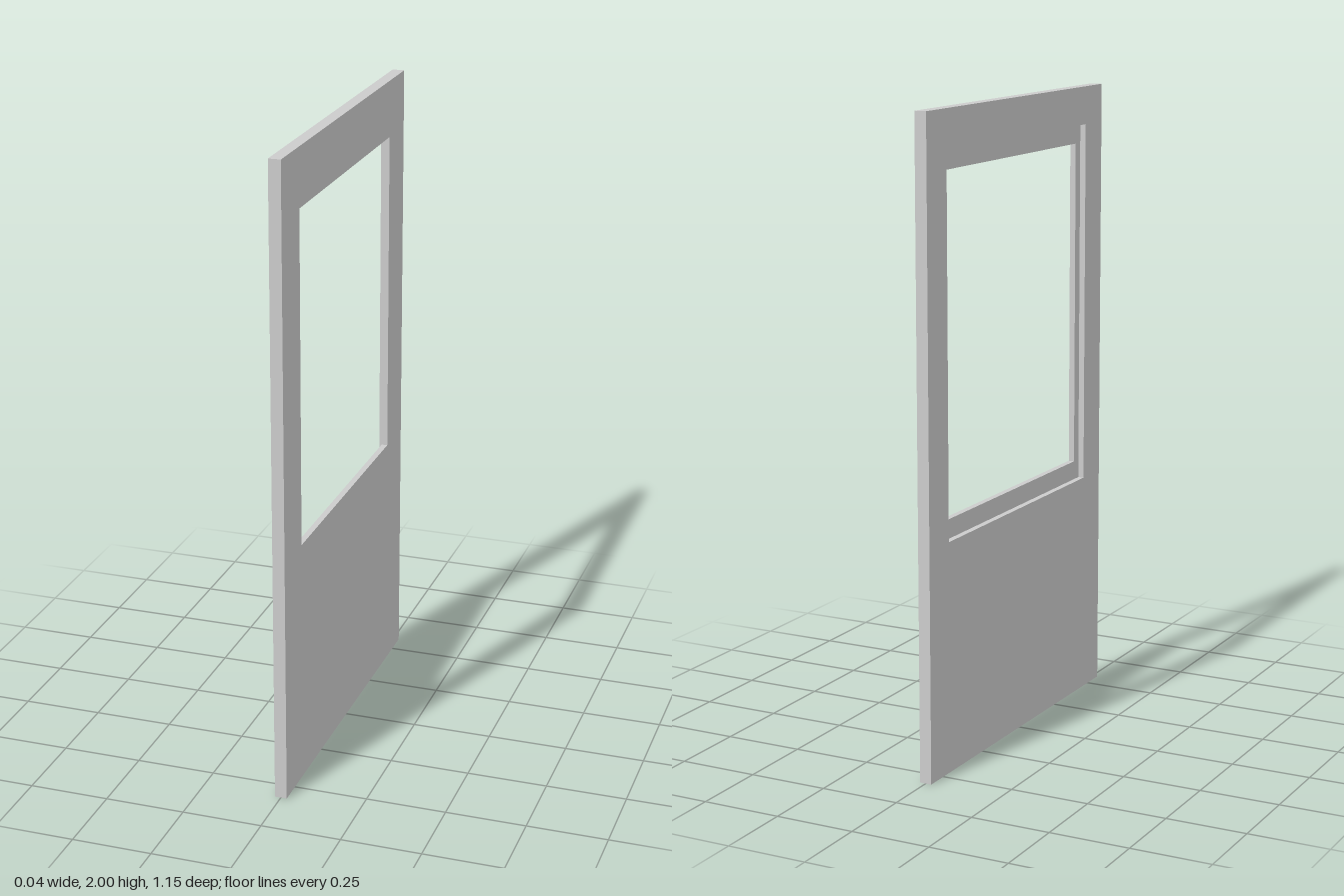
import * as THREE from 'three';

const WIDTH = 1.15, HEIGHT = 2, HALF_DEPTH = 0.019;
const REBATE_FLOOR = 0; // x where the glazing rebate stops

// Rectangle path, symmetric across the panel, from y0 up to y1
function rect(path, width, y0, y1) {
  const w = width / 2;
  path.moveTo(-w, y0);
  path.lineTo(w, y0);
  path.lineTo(w, y1);
  path.lineTo(-w, y1);
  path.closePath();
  return path;
}

// Panel layer between two x positions, with a rectangular opening
function layer(name, x0, x1, opening) {
  const shape = rect(new THREE.Shape(), WIDTH, 0, HEIGHT);
  shape.holes.push(rect(new THREE.Path(), ...opening));
  const geometry = new THREE.ExtrudeGeometry(shape, { depth: x1 - x0, bevelEnabled: false });
  geometry.translate(0, 0, x0);
  geometry.rotateY(Math.PI / 2); // thickness along x, width along z
  const mesh = new THREE.Mesh(geometry, new THREE.MeshStandardMaterial({ color: 0xcccccc }));
  mesh.name = name;
  return mesh;
}

export function createModel() {
  const door = new THREE.Group();
  door.name = 'doorPanel';
  // Plain face with the window opening
  door.add(layer('windowFace', REBATE_FLOOR, HALF_DEPTH, [0.85, 0.78, 1.82]));
  // Other face, whose wider opening leaves a step around the window
  door.add(layer('rebateFace', -HALF_DEPTH, REBATE_FLOOR, [0.916, 0.72, 1.88]));
  return door;
}
